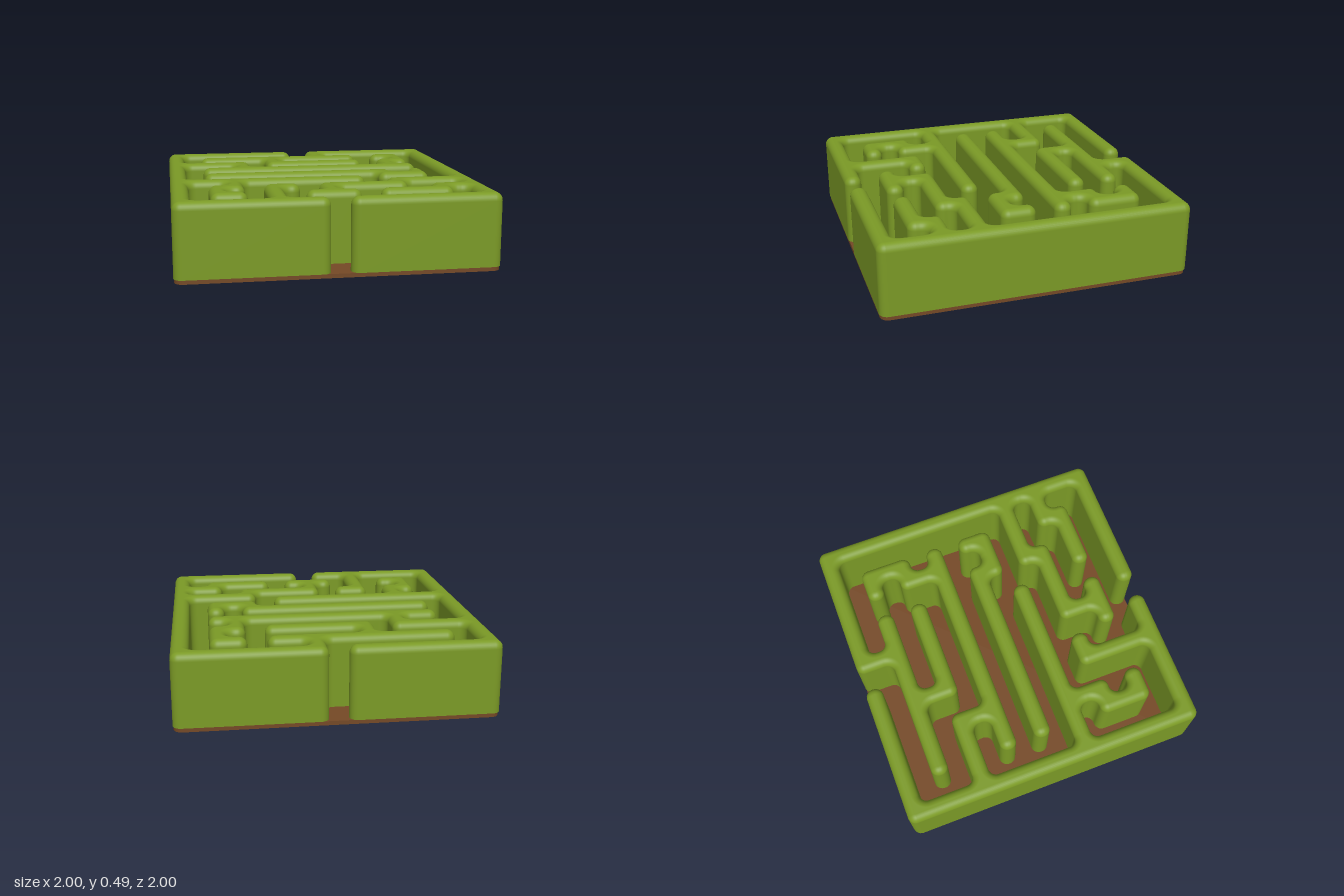
import * as THREE from 'three';

const STEP = 0.118;      // maze grid spacing
const GAP = 0.003;       // inset of each wall from its grid cell
const RADIUS = 0.053;    // rounding of corners in plan
const BEVEL = 0.05;      // rounding of the top edge
const BASE_Y = 0.026, TOP_Y = 0.487;
const ARC = 8;

// Wall runs as x, z corner points on a grid from -8 to 8
const RUNS = {
  border: [
    [-1, -8, -8, -8, -8, 8, -1, 8],
    [1, -8, 8, -8, 8, 8, 1, 8],
  ],
  back: [
    [1, -8, 1, -6], [-6, -6, 3, -6], [-2, -6, -2, -4, 3, -4],
    [-8, -4, -4, -4, -4, -2], [-6, -2, 6, -2],
    [5, -6, 6, -6, 6, -4, 5, -4, 5, -2],
  ],
  middle: [
    [-6, 0, 4, 0, 4, 1, 6, 1, 6, 0],
    [-8, 2, 2, 2],
  ],
  front: [
    [-5, 2, -5, 4, -6, 4, -6, 6, -5, 6],
    [-2, 4, -3, 4, -3, 8],
    [8, 3, 4, 3, 4, 4, 0, 4, 0, 6], [-1, 6, 1, 6],
    [3, 6, 6, 6, 6, 5, 8, 5],
  ],
};

// Mark every grid cell that a run passes through
function fillCells() {
  const cells = new Set();
  for (const run of Object.values(RUNS).flat()) {
    for (let k = 0; k + 3 < run.length; k += 2) {
      let [x, z, x2, z2] = run.slice(k, k + 4);
      cells.add(`${x},${z}`);
      while (x !== x2 || z !== z2) {
        x += Math.sign(x2 - x);
        z += Math.sign(z2 - z);
        cells.add(`${x},${z}`);
      }
    }
  }
  return cells;
}

// Follow the cell borders into closed loops of unit edges
function traceLoops(cells) {
  const next = new Map();
  for (const cell of cells) {
    const [x, z] = cell.split(',').map(Number);
    const edge = (nx, nz, ax, az, bx, bz) => {
      if (!cells.has(`${nx},${nz}`)) next.set(`${ax},${az}`, [ax, az, bx, bz]);
    };
    edge(x, z - 1, x, z, x + 1, z);
    edge(x + 1, z, x + 1, z, x + 1, z + 1);
    edge(x, z + 1, x + 1, z + 1, x, z + 1);
    edge(x - 1, z, x, z + 1, x, z);
  }
  const loops = [];
  while (next.size) {
    let key = next.keys().next().value;
    const loop = [];
    while (next.has(key)) {
      const e = next.get(key);
      next.delete(key);
      loop.push(e);
      key = `${e[2]},${e[3]}`;
    }
    loops.push(loop);
  }
  return loops;
}

// Round each corner; every sample keeps its arc centre, sign and inward direction
function roundCorners(loop) {
  const samples = [];
  loop.forEach((e, i) => {
    const p = loop[(i + loop.length - 1) % loop.length];
    const n1 = [p[1] - p[3], p[2] - p[0]];
    const n2 = [e[1] - e[3], e[2] - e[0]];
    const sign = n1[0] * n2[1] - n1[1] * n2[0];
    if (sign === 0) return;
    const shift = GAP + sign * RADIUS;
    const cx = (e[0] - 0.5) * STEP + shift * (n1[0] + n2[0]);
    const cz = (e[1] - 0.5) * STEP + shift * (n1[1] + n2[1]);
    for (let k = 0; k <= ARC; k++) {
      const t = (k / ARC) * Math.PI / 2, c = Math.cos(t), s = Math.sin(t);
      samples.push({ cx, cz, sign, mx: n1[0] * c + n2[0] * s, mz: n1[1] * c + n2[1] * s });
    }
  });
  return samples;
}

// Loft the outline upwards, rolling it inwards at the top
function hedgeGeometry(samples) {
  const pos = [], nor = [], idx = [], n = samples.length;
  const rings = [[BASE_Y, 0]];
  for (let k = 0; k <= ARC; k++) {
    const a = (k / ARC) * Math.PI / 2;
    rings.push([TOP_Y - BEVEL + BEVEL * Math.sin(a), a]);
  }
  for (const [y, a] of rings) {
    const inset = BEVEL * (1 - Math.cos(a));
    for (const { cx, cz, sign, mx, mz } of samples) {
      const r = sign * RADIUS - inset;
      pos.push(cx - r * mx, y, cz - r * mz);
      nor.push(-mx * Math.cos(a), Math.sin(a), -mz * Math.cos(a));
    }
  }
  for (let k = 0; k < rings.length - 1; k++) {
    for (let i = 0; i < n; i++) {
      const a = k * n + i, b = k * n + (i + 1) % n;
      idx.push(a, a + n, b, b, a + n, b + n);
    }
  }
  // Flat strip along the crown
  const start = (rings.length - 1) * n;
  const crown = samples.map((_, i) =>
    new THREE.Vector2(pos[(start + i) * 3], pos[(start + i) * 3 + 2]));
  for (const [a, b, c] of THREE.ShapeUtils.triangulateShape(crown, [])) {
    const A = crown[a], B = crown[b], C = crown[c];
    const up = (B.y - A.y) * (C.x - A.x) - (B.x - A.x) * (C.y - A.y) > 0;
    idx.push(start + a, start + (up ? b : c), start + (up ? c : b));
  }
  const g = new THREE.BufferGeometry();
  g.setAttribute('position', new THREE.Float32BufferAttribute(pos, 3));
  g.setAttribute('normal', new THREE.Float32BufferAttribute(nor, 3));
  g.setIndex(idx);
  return g;
}

// Thin slab of soil with rounded corners
function baseGeometry() {
  const h = 0.995, r = 0.055, q = Math.PI / 2, shape = new THREE.Shape();
  [[1, 1], [-1, 1], [-1, -1], [1, -1]].forEach(([sx, sy], i) =>
    shape.absarc(sx * (h - r), sy * (h - r), r, i * q, (i + 1) * q));
  return new THREE.ExtrudeGeometry(shape, { depth: BASE_Y, bevelEnabled: false, curveSegments: ARC })
    .rotateX(-Math.PI / 2);
}

export function createModel() {
  const leaf = new THREE.MeshStandardMaterial({ color: 0x7b9a26 });
  leaf.name = 'hedge green';
  const soil = new THREE.MeshStandardMaterial({ color: 0x754926 });
  soil.name = 'soil brown';

  const model = new THREE.Group();
  model.name = 'hedgeMaze';

  const base = new THREE.Mesh(baseGeometry(), soil);
  base.name = 'soilBase';
  model.add(base);

  const hedges = new THREE.Group();
  hedges.name = 'hedges';
  traceLoops(fillCells()).forEach((loop, i) => {
    const hedge = new THREE.Mesh(hedgeGeometry(roundCorners(loop)), leaf);
    hedge.name = `hedge${i + 1}`;
    hedges.add(hedge);
  });
  model.add(hedges);
  return model;
}
